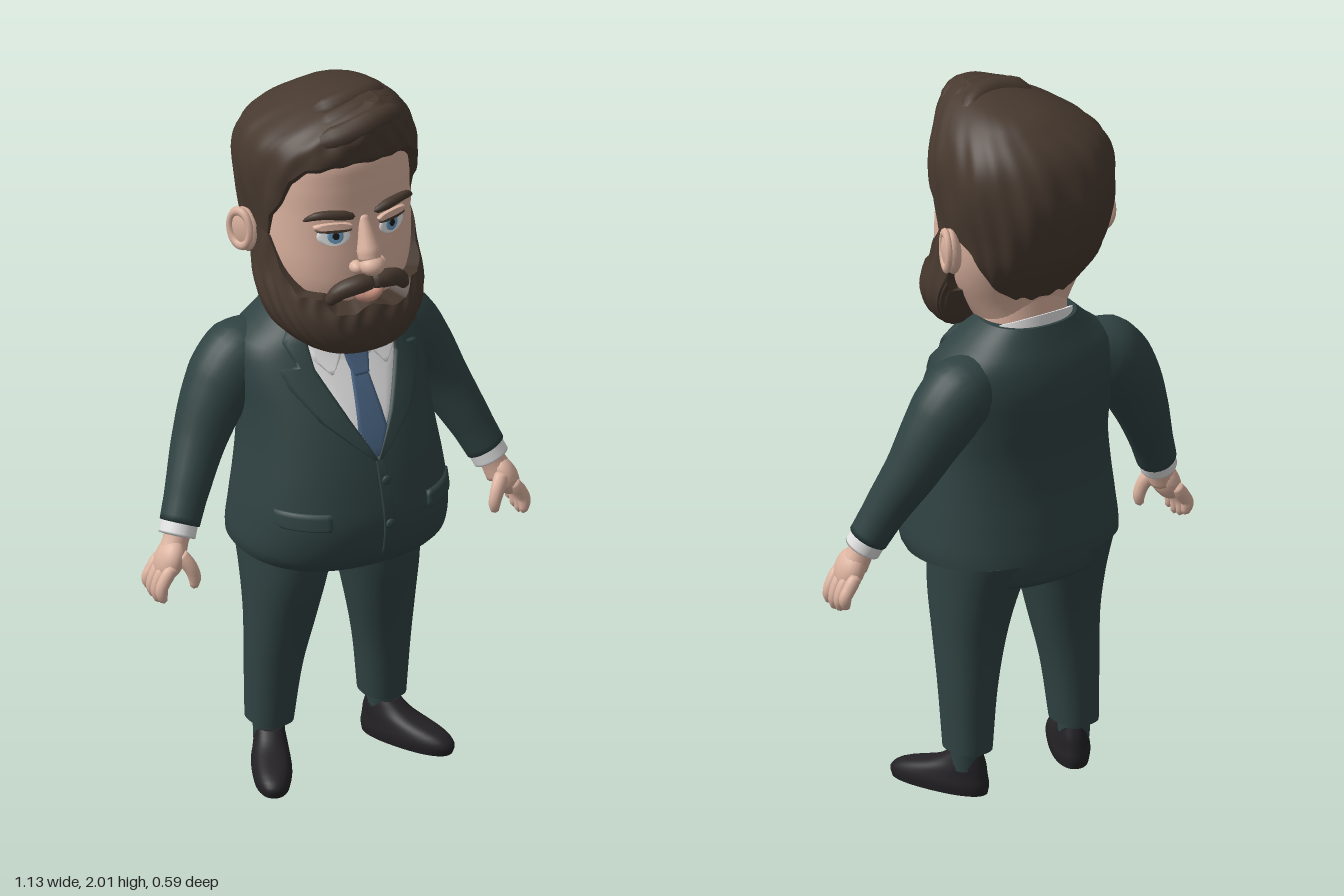
import * as THREE from 'three';
import { mergeVertices } from 'three/addons/utils/BufferGeometryUtils.js';

const V = (x, y, z) => new THREE.Vector3(x, y, z);
const mat = (name, color) => Object.assign(new THREE.MeshStandardMaterial({ color }), { name });

// Smooth lookup in a table whose first column is the key
function sample(table, k) {
  const n = table.length - 1;
  k = Math.min(Math.max(k, table[0][0]), table[n][0]);
  let i = 0;
  while (i < n - 1 && k > table[i + 1][0]) i++;
  const a = table[i], b = table[i + 1], p = table[Math.max(i - 1, 0)], q = table[Math.min(i + 2, n)];
  const h = b[0] - a[0], t = (k - a[0]) / h;
  return a.map((_, c) => {
    const ma = (b[c] - p[c]) / (b[0] - p[0]) * h, mb = (q[c] - a[c]) / (q[0] - a[0]) * h;
    const t2 = t * t, t3 = t2 * t;
    return (2 * t3 - 3 * t2 + 1) * a[c] + (t3 - 2 * t2 + t) * ma + (3 * t2 - 2 * t3) * b[c] + (t3 - t2) * mb;
  });
}

// Straight lookup, used for hair and beard outlines by angle
function linear(table, k) {
  let i = 0;
  while (i < table.length - 2 && k > table[i + 1][0]) i++;
  const [a, b] = [table[i], table[i + 1]];
  return THREE.MathUtils.lerp(a[1], b[1], (k - a[0]) / (b[0] - a[0]));
}

// Skin over rows of points
function grid(rows, wrap) {
  const m = rows[0].length, idx = [], cells = wrap ? m : m - 1;
  for (let i = 0; i < rows.length - 1; i++) for (let j = 0; j < cells; j++) {
    const a = i * m + j, b = i * m + (j + 1) % m;
    idx.push(a, b, b + m, a, b + m, a + m);
  }
  const g = new THREE.BufferGeometry().setFromPoints(rows.flat());
  g.setIndex(idx);
  g.computeVertexNormals();
  return g;
}

const pw = (v, e) => Math.sign(v) * Math.abs(v) ** (2 / e);
const midZ = r => (r.length > 5 ? r[5] : (r[3] + r[4]) / 2);

// Closed body from sections [y, centreX, halfWidth, frontZ, backZ, midZ], from an edge line to yEnd
function shell(table, edge, yEnd, { e = 2.3, rows = 24, cols = 48, ease = false, bump = () => 0 } = {}) {
  const R = [];
  for (let i = 0; i <= rows; i++) {
    const t = ease ? Math.sin(i / rows * Math.PI / 2) : i / rows, row = [];
    for (let j = 0; j < cols; j++) {
      const th = j / cols * Math.PI * 2;
      const deg = Math.abs(th > Math.PI ? th - 2 * Math.PI : th) * 180 / Math.PI;
      const y0 = edge(deg), y = y0 + (yEnd - y0) * t, r = sample(table, y), zc = midZ(r);
      const c = Math.cos(th), k = 1 + bump(th, t);
      row.push(V(r[1] + r[2] * pw(Math.sin(th), e) * k, y, zc + (c > 0 ? r[3] - zc : zc - r[4]) * pw(c, e) * k));
    }
    R.push(row);
  }
  const centre = row => {
    const c = row.reduce((s, p) => s.add(p), V(0, 0, 0)).divideScalar(cols);
    return row.map(() => c);
  };
  const all = [centre(R[0]), R[0], ...R, R[rows], centre(R[rows])];
  return grid(edge(0) > yEnd ? all.reverse() : all, true);
}

// Rounded limb along a curve; radii are spread evenly and the ends close
function limb(pts, radii, seg = 16, sides = 14) {
  const curve = new THREE.CatmullRomCurve3(pts.map(p => V(...p)));
  const g = new THREE.TubeGeometry(curve, seg, 1, sides), pos = g.attributes.position, v = V(0, 0, 0);
  for (let i = 0; i <= seg; i++) {
    const c = curve.getPointAt(i / seg), u = i / seg * (radii.length - 1), k = Math.min(Math.floor(u), radii.length - 2);
    const r = i === 0 || i === seg ? 0.0005 : THREE.MathUtils.lerp(radii[k], radii[k + 1], u - k);
    for (let j = 0; j <= sides; j++) {
      const n = i * (sides + 1) + j;
      v.fromBufferAttribute(pos, n).sub(c).multiplyScalar(r).add(c);
      pos.setXYZ(n, v.x, v.y, v.z);
    }
  }
  g.deleteAttribute('uv');
  g.deleteAttribute('normal');
  const out = mergeVertices(g, 1e-6);
  out.computeVertexNormals();
  return out;
}

// Thin plate laid on the front of a body; outline rows are [y, x0, x1] going up
function panel(table, outline, off, s = 1, e = 2.3) {
  const lines = [outline[0]], cols = 8;
  for (let i = 1; i < outline.length; i++) for (let k = 1; k <= 3; k++)
    lines.push(outline[i].map((v, c) => THREE.MathUtils.lerp(outline[i - 1][c], v, k / 3)));
  const last = lines.length - 1;
  const rows = [];
  for (let i = -1; i <= last + 1; i++) {
    const [y, a, b] = lines[Math.min(Math.max(i, 0), last)], r = sample(table, y), zc = midZ(r), row = [];
    const x0 = Math.min(a * s, b * s), x1 = Math.max(a * s, b * s);
    for (let j = -1; j <= cols + 1; j++) {
      const x = THREE.MathUtils.lerp(x0, x1, Math.min(Math.max(j, 0), cols) / cols);
      const rim = i < 0 || i > last || j < 0 || j > cols;
      const f = Math.max(0, 1 - Math.abs((x - r[1]) / r[2]) ** e) ** (1 / e);
      row.push(V(x, y, zc + (r[3] - zc) * f + (rim ? -0.003 : off)));
    }
    rows.push(row);
  }
  return grid(rows, false);
}
const oval = (cx, cy, a, b) => Array.from({ length: 9 }, (_, i) => {
  const t = (i / 8 - 0.5) * Math.PI, w = a * Math.cos(t);
  return [cy + b * Math.sin(t), cx - w, cx + w];
});

const HEAD = [[1.36, 0, .12, .1, -.14], [1.42, 0, .16, .17, -.15], [1.48, 0, .19, .188, -.17], [1.55, 0, .207, .188, -.2],
  [1.62, 0, .212, .182, -.22], [1.7, 0, .212, .176, -.23], [1.78, 0, .21, .175, -.24], [1.86, 0, .19, .165, -.22], [1.92, 0, .12, .1, -.15], [1.95, 0, .03, .03, -.05]];
const HAIR = [[1.42, 0, .12, .1, -.14, -.04], [1.48, 0, .17, .15, -.18, -.04], [1.56, 0, .21, .17, -.24, -.04], [1.65, 0, .225, .18, -.275, -.04],
  [1.74, 0, .235, .185, -.29, -.04], [1.82, 0, .235, .185, -.275, -.04], [1.88, .003, .215, .19, -.245, -.03], [1.93, .02, .165, .19, -.19, 0],
  [1.97, .04, .095, .175, -.11, .04], [1.995, .055, .02, .14, .07, .1]];
const HAIRLINE = [[0, 1.86], [20, 1.855], [40, 1.84], [52, 1.8], [60, 1.73], [70, 1.68], [74, 1.6], [86, 1.59], [94, 1.64], [108, 1.6], [125, 1.5], [150, 1.44], [180, 1.43]];
const BEARD = [[1.282, 0, .03, .18, .12, .15], [1.3, 0, .12, .215, .05, .12], [1.34, 0, .185, .237, .01, .06], [1.4, 0, .222, .24, -.02, .03],
  [1.46, 0, .232, .22, -.04, 0], [1.52, 0, .228, .205, -.06, -.03], [1.62, 0, .222, .19, -.06, -.04]];
const BEARDLINE = [[0, 1.445], [12, 1.425], [25, 1.43], [32, 1.47], [50, 1.475], [62, 1.53], [74, 1.62], [88, 1.62], [96, 1.5], [120, 1.46], [180, 1.46]];
const JACKET = [[.66, 0, .27, .225, -.225], [.7, 0, .293, .262, -.235], [.8, 0, .29, .285, -.225], [.9, 0, .278, .27, -.213], [1, 0, .265, .243, -.212],
  [1.1, 0, .262, .203, -.225], [1.2, 0, .268, .145, -.23], [1.27, 0, .25, .105, -.218], [1.32, 0, .19, .085, -.2], [1.37, 0, .135, .05, -.182]];
const LEG = [[.13, .17, .06, .03, -.11], [.3, .163, .073, .052, -.112], [.45, .15, .09, .085, -.122], [.58, .139, .106, .115, -.155], [.7, .125, .125, .12, -.2]];
const HIPS = [[.595, 0, .05, .03, -.1], [.62, 0, .2, .115, -.185], [.66, 0, .243, .135, -.205], [.75, 0, .25, .14, -.2]];
const SHOE = [[0, 0, .05, .185, -.1], [.025, 0, .054, .19, -.104], [.05, 0, .05, .16, -.1], [.08, 0, .043, .06, -.095], [.11, 0, .036, .01, -.085]];
const COLLAR = [[1.24, 0, .15, .13, -.185], [1.33, 0, .138, .1, -.178], [1.41, 0, .125, .07, -.17]];

export function createModel() {
  const root = new THREE.Group();
  const suit = mat('suit green', 0x304242), hair = mat('hair brown', 0x47392f), skin = mat('skin', 0xdcb3a0), shirt = mat('shirt white', 0xe2e2e2);
  const tie = mat('tie blue', 0x46607e), shoe = mat('shoe black', 0x232124), white = mat('eye white', 0xeeeeee), blue = mat('iris blue', 0x6c9cc0);
  const black = mat('pupil', 0x17191c), lip = mat('lip', 0xc8917f);
  const add = (name, geo, m) => {
    const mesh = new THREE.Mesh(geo, m);
    mesh.name = name;
    root.add(mesh);
    return mesh;
  };
  const ball = (name, m, p, sc) => {
    const b = add(name, new THREE.SphereGeometry(1, 20, 14), m);
    b.position.set(...p);
    b.scale.set(...sc);
    return b;
  };

  // Head, hair and beard
  add('head', shell(HEAD, () => 1.36, 1.95, { rows: 30 }), skin);
  add('neck', shell([[1.28, 0, .125, .07, -.16], [1.52, 0, .125, .07, -.155]], () => 1.28, 1.52, { e: 2, rows: 4 }), skin);
  add('hair', shell(HAIR, d => linear(HAIRLINE, d), 1.995, { rows: 36, cols: 160, ease: true,
    bump: (th, t) => (0.011 * Math.sin(20 * th + 9 * t) + 0.008 * Math.sin(9 * th - 7 * t)) * Math.min(1, 3 - 3 * t) }), hair);
  add('beard', shell(BEARD, d => linear(BEARDLINE, d), 1.282, { rows: 28, cols: 160, ease: true,
    bump: (th, t) => 0.012 * Math.sin(28 * th + 2 * Math.sin(6 * t)) * Math.min(1, 3 - 3 * t) }), hair);
  for (let k = 0; k < 3; k++)
    add('quiffLock', limb([[-.15 + .03 * k, 1.885 + .012 * k, .1 - .05 * k], [-.05, 1.925 + .015 * k, .15 - .05 * k],
      [.07, 1.955 + .008 * k, .15 - .05 * k], [.17, 1.905 + .01 * k, .09 - .05 * k]], [.01, .035, .036, .03, .008]), hair);

  // Nose and mouth
  add('noseBridge', limb([[0, 1.69, .165], [0, 1.62, .192], [0, 1.56, .21]], [.012, .018, .024, .032, .03]), skin);
  ball('noseTip', skin, [0, 1.557, .22], [.035, .028, .034]);
  add('lowerLip', limb([[-.055, 1.475, .192], [0, 1.456, .205], [.055, 1.475, .192]], [.004, .014, .016, .014, .004]), lip);

  // Jacket, shirt and tie
  add('jacket', shell(JACKET, d => .687 - .02 * Math.cos(d * Math.PI / 180), 1.37, { rows: 36, cols: 64 }), suit);
  add('hips', shell(HIPS, () => .595, .75), suit);
  add('collarBand', shell(COLLAR, d => 1.345 - .055 * Math.cos(d * Math.PI / 180), 1.24, { rows: 6 }), shirt);
  add('shirtFront', panel(JACKET, [[1, -.004, .004], [1.1, -.062, .062], [1.24, -.128, .128], [1.33, -.12, .12]], .005), shirt);
  add('tieBlade', panel(JACKET, [[1.0, -.004, .004], [1.07, -.042, .042], [1.22, -.022, .022]], .013), tie);
  add('tieKnot', panel(JACKET, [[1.205, -.02, .02], [1.225, -.026, .026], [1.28, -.038, .038], [1.295, -.03, .03]], .026), tie);
  add('frontEdge', panel(JACKET, [[.675, .004, .04], [.85, 0, .035], [.99, -.004, .02]], .005), suit);
  for (const y of [.81, .93])
    ball('button', suit, [.018, y, sample(JACKET, y)[3] + .006], [.014, .014, .007]);

  for (const s of [1, -1]) {
    // Face details
    const ear = ball('ear', skin, [.232 * s, 1.597, -.055], [.026, .066, .046]);
    ear.rotation.set(-.1, -.35 * s, -.12 * s);
    const rim = add('earRim', new THREE.TorusGeometry(.036, .01, 8, 24), skin);
    rim.position.set(.25 * s, 1.603, -.055);
    rim.scale.set(1, 1.4, 1);
    rim.rotation.y = Math.PI / 2 - .35 * s;
    ball('nostril', skin, [.033 * s, 1.548, .195], [.02, .018, .024]);
    add('eyeWhite', panel(HEAD, oval(.087, 1.64, .043, .026), .004, s), white);
    add('iris', panel(HEAD, oval(.085, 1.643, .021, .022), .006, s), blue);
    add('pupil', panel(HEAD, oval(.085, 1.643, .009, .01), .008, s), black);
    add('upperLid', panel(HEAD, oval(.088, 1.668, .05, .012), .011, s), skin);
    add('lashLine', panel(HEAD, oval(.088, 1.658, .046, .004), .0115, s), hair);
    add('eyebrow', limb([[.028 * s, 1.69, .178], [.085 * s, 1.706, .175], [.135 * s, 1.708, .16], [.165 * s, 1.69, .136]], [.008, .014, .013, .011, .004]), hair);
    add('moustache', limb([[-.004 * s, 1.51, .218], [.045 * s, 1.508, .219], [.09 * s, 1.49, .203], [.118 * s, 1.452, .185]], [.022, .026, .025, .022, .012]), hair);

    // Lapel, shirt collar wing and pocket flap
    add('lapel', panel(JACKET, [[.99, 0, .012], [1.1, .06, .135], [1.18, .098, .19], [1.228, .12, .205], [1.235, .122, .16], [1.29, .125, .18], [1.33, .11, .15]], .013, s), suit);
    add('collarWing', panel(JACKET, [[1.215, .078, .084], [1.25, .05, .118], [1.3, .022, .125], [1.325, .02, .115]], .02, s), shirt);
    add('pocketFlap', panel(JACKET, [[.815, .15, .255], [.825, .145, .26], [.86, .145, .26]], .012, s), suit);

    // Sleeve, cuff and hand
    add('sleeve', limb([[.15 * s, 1.235, -.1], [.235 * s, 1.2, -.1], [.305 * s, 1.11, -.09], [.365 * s, 1.0, -.068], [.42 * s, .89, -.03], [.468 * s, .785, .004]],
      [.07, .1, .098, .086, .075, .066, .058, .054], 36, 24), suit);
    add('cuff', limb([[.45 * s, .825, -.01], [.477 * s, .763, .01]], [.05, .05], 12, 24), shirt);
    add('wrist', limb([[.46 * s, .8, 0], [.48 * s, .755, .01], [.5 * s, .71, .02]], [.035, .035, .04], 10), skin);
    ball('palm', skin, [.505 * s, .712, .022], [.036, .06, .05]).rotation.z = .4 * s;
    for (let k = 0; k < 4; k++) {
      const z = .058 - .026 * k, drop = [.008, 0, .004, .016][k];
      add('finger', limb([[.51 * s, .71, z], [.538 * s, .668, z], [.548 * s, .635 + drop, z], [.542 * s, .597 + drop, z + .004]], [.015, .019, .018, .017, .009], 14, 10), skin);
    }
    add('thumb', limb([[.49 * s, .735, .045], [.464 * s, .695, .064], [.453 * s, .66, .068], [.456 * s, .63, .066]], [.02, .021, .019, .017, .009], 14, 10), skin);

    // Leg, sock and shoe
    add('trouserLeg', shell(LEG.map(([y, cx, ...r]) => [y, cx * s, ...r]), () => .13, .7, { e: 2.4, rows: 20 }), suit);
    const sock = add('sock', new THREE.CylinderGeometry(.045, .042, .09, 20), suit);
    sock.position.set(.172 * s, .115, -.038);
    const foot = add('shoe', shell(SHOE, () => 0, .11, { rows: 14 }), shoe);
    foot.position.set(.187 * s, 0, 0);
    foot.rotation.y = .44 * s;
  }
  return root;
}
